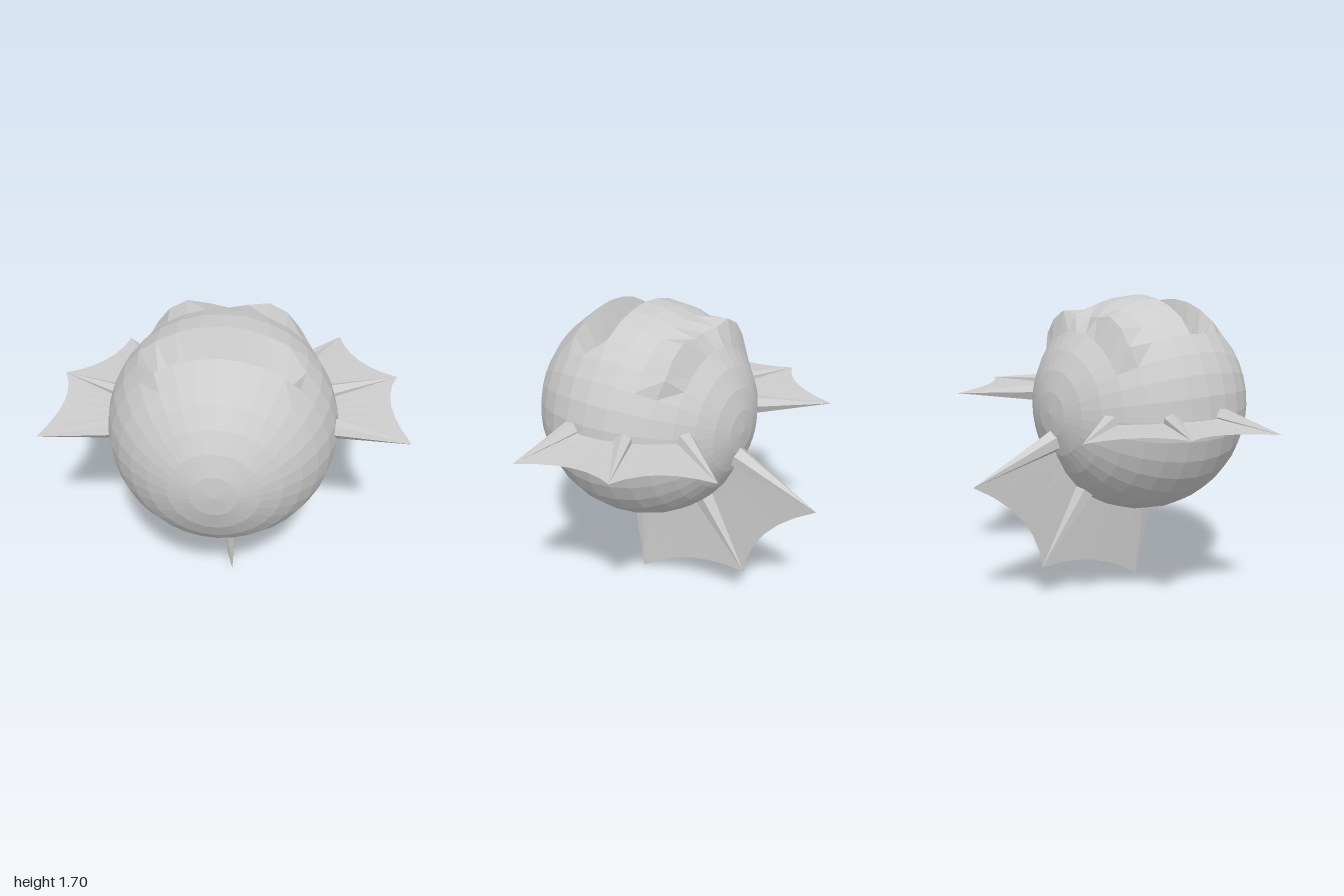
import * as THREE from 'three';

const R = 0.62, CENTRE = new THREE.Vector3(0, 1.09, 0.235);
const V = (x, y, z) => new THREE.Vector3(x, y, z);

// Faceted ball with its poles front and back; a mouth groove and two brows are
// shaped by moving the ring vertices.
function bodyGeometry() {
  const g = new THREE.SphereGeometry(R, 32, 16).rotateX(Math.PI / 2);
  const p = g.attributes.position;
  for (let i = 0; i < p.count; i++) {
    let x = p.getX(i), y = p.getY(i), z = p.getZ(i);
    const ring = Math.round(Math.acos(THREE.MathUtils.clamp(z / R, -1, 1)) / Math.PI * 16);
    const step = Math.round(Math.abs(Math.atan2(x, y)) / Math.PI * 16); // 0 is the top
    if (step <= 3 && ring === 6) { // front lip
      x *= 1.02; y *= 1.02; z = 0.258;
    } else if (step <= 3 && ring === 7) { // mouth floor
      x *= 0.93; y = 0.32; z = 0.165;
    } else if (step <= 3 && ring === 8) { // back lip
      z = 0.02;
    } else if (ring === 11 && step >= 1 && step <= 4) { // brows
      const s = [1, 1.03, 1.125, 1.12, 1.07][step];
      x *= s; y *= s; z = -0.375;
    }
    p.setXYZ(i, x, y, z);
  }
  const flat = g.toNonIndexed();
  flat.computeVertexNormals();
  return flat;
}

// Tapering spike from base to tip
function spike(base, tip, radius, mat) {
  const dir = tip.clone().sub(base), len = dir.length();
  const g = new THREE.ConeGeometry(radius, len, 6).translate(0, len / 2, 0);
  const m = new THREE.Mesh(g, mat);
  m.quaternion.setFromUnitVectors(V(0, 1, 0), dir.normalize());
  m.position.copy(base);
  m.name = 'finSpike';
  return m;
}

// Thin web between two spikes with a hollow outer edge
function web(b0, b1, t0, t1, control, mat) {
  const N = 6, pos = [], idx = [];
  const edge = new THREE.QuadraticBezierCurve3(t0, control, t1);
  for (let i = 0; i <= N; i++) {
    const a = b0.clone().lerp(b1, i / N), b = edge.getPoint(i / N);
    pos.push(a.x, a.y, a.z, b.x, b.y, b.z);
    if (i < N) idx.push(2 * i, 2 * i + 1, 2 * i + 2, 2 * i + 1, 2 * i + 3, 2 * i + 2);
  }
  const g = new THREE.BufferGeometry();
  g.setAttribute('position', new THREE.Float32BufferAttribute(pos, 3));
  g.setIndex(idx);
  const flat = g.toNonIndexed();
  flat.computeVertexNormals();
  const m = new THREE.Mesh(flat, mat);
  m.name = 'finWeb';
  return m;
}

// Three spikes joined by two webs
function fin(name, bases, tips, controls, radius, mat) {
  const f = new THREE.Group();
  f.name = name;
  bases.forEach((b, i) => f.add(spike(b, tips[i], radius, mat)));
  controls.forEach((c, i) => f.add(web(bases[i], bases[i + 1], tips[i], tips[i + 1], c, mat)));
  return f;
}

export function createModel() {
  const model = new THREE.Group();
  model.name = 'roundFish';
  const grey = new THREE.MeshStandardMaterial({ color: 0xcccccc, flatShading: true, side: THREE.DoubleSide });
  grey.name = 'grey';

  const body = new THREE.Mesh(bodyGeometry(), grey);
  body.name = 'body';
  body.position.copy(CENTRE);
  model.add(body);

  // Side fins, the one on the -x side sitting a little lower
  for (const [s, d, name] of [[1, 0, 'leftFin'], [-1, -0.07, 'rightFin']]) {
    model.add(fin(name,
      [V(s * 0.58, 1.16 + d, 0.325), V(s * 0.54, 1.16 + d, 0.02), V(s * 0.36, 1.15 + d, -0.24)],
      [V(s, 1.12 + d, 0.385), V(s * 0.95, 1.155 + d, -0.185), V(s * 0.635, 1.14 + d, -0.61)],
      [V(s * 0.835, 1.15 + d, 0.06), V(s * 0.69, 1.16 + d, -0.28)],
      0.055, grey));
  }

  // Tail fin below and behind
  model.add(fin('tailFin',
    [V(0.02, 0.52, 0.28), V(0.01, 0.62, -0.15), V(0.01, 0.94, -0.34)],
    [V(0.055, 0.01, 0.26), V(0.03, 0.205, -0.43), V(0.02, 0.745, -0.86)],
    [V(0.03, 0.24, -0.05), V(0.02, 0.53, -0.46)],
    0.065, grey));

  return model;
}
